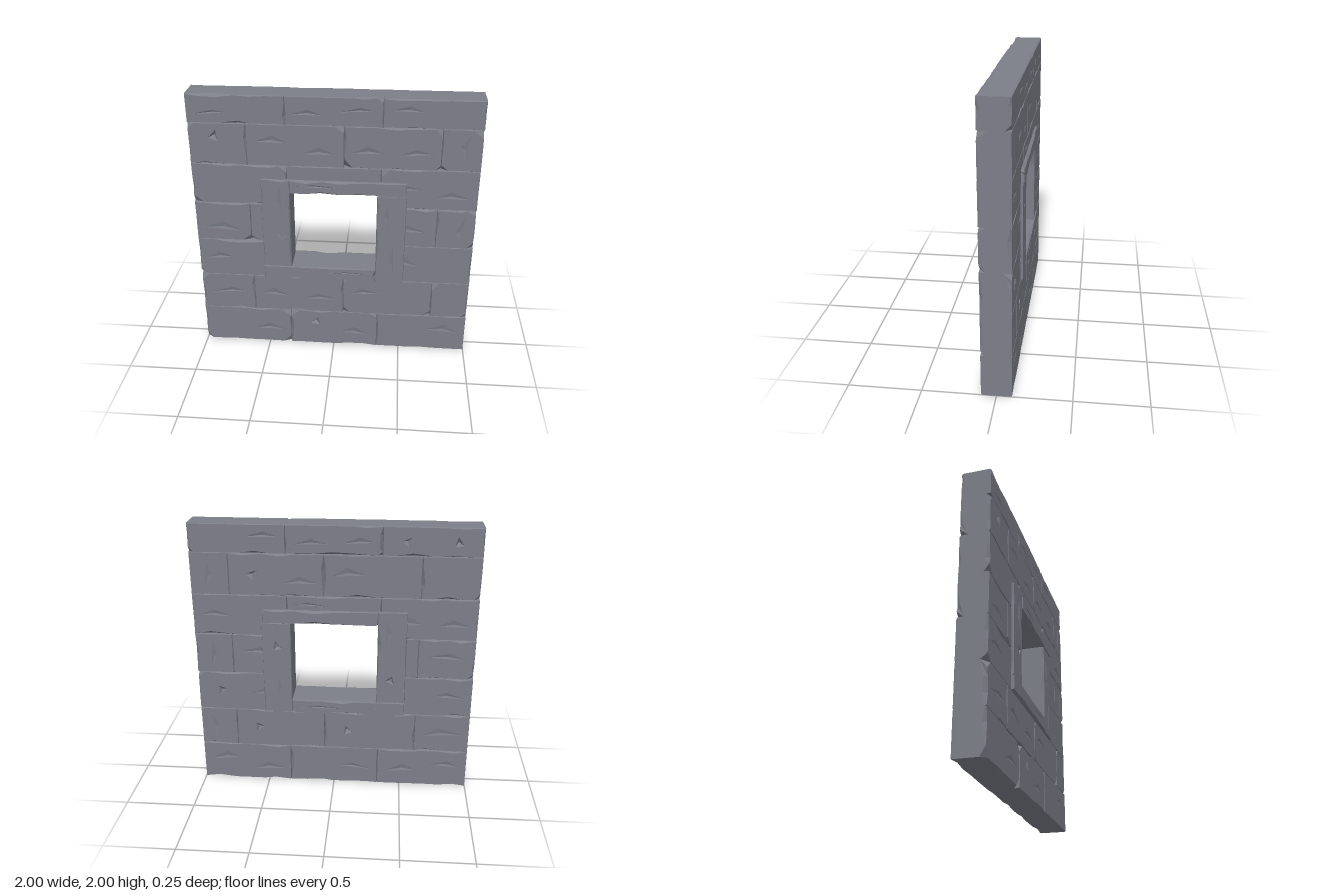
import * as THREE from 'three';

// Small seeded generator, so the wear is the same every time
let seed = 7;
const rand = () => {
  seed = (seed * 16807) % 2147483647;
  return seed / 2147483647;
};
const between = (a, b) => a + (b - a) * rand();

// Joint corners that are broken off on the front
const brokenCorners = [
  [-0.6, 1.5], [0.07, 1.5], [0.73, 1.5], [-0.6, 0.9], [-0.6, 0.3], [0.73, 0.3],
  [-0.33, 0], [-0.33, 1.5], [-1, 0.6], [0.73, 0.6], [0.07, 1.8], [-0.6, 1.2],
];
// Deep pits in the front of the stones
const pits = [[-0.82, 1.71], [-0.14, 0.2], [-0.38, 0.95]];

// Worn outline of one face: the face edge, and the rim below it with a depth at each point
function wornEdge(x0, x1, y0, y1, front) {
  const corners = [[x0, y0], [x1, y0], [x1, y1], [x0, y1]];
  const maxChip = Math.min(0.07, 0.25 * Math.min(x1 - x0, y1 - y0));
  const face = [], rim = [];
  corners.forEach(([cx, cy], i) => {
    const [px, py] = corners[(i + 3) % 4];
    const [nx, ny] = corners[(i + 1) % 4];
    const before = Math.hypot(px - cx, py - cy), length = Math.hypot(nx - cx, ny - cy);
    const dx = (nx - cx) / length, dy = (ny - cy) / length;
    const listed = front && brokenCorners.some(([x, y]) => Math.hypot(x - cx, y - cy) < 0.02);
    const broken = rand() < (listed ? 0.6 : 0.13);
    const a = broken ? maxChip * between(0.5, 1) : 0.008;
    const b = broken ? maxChip * between(0.5, 1) : 0.008;
    const depth = broken ? between(0.03, 0.06) : 0.01;
    // Corner: two face points over one rim point, set in slightly from the joints
    face.push([cx + (px - cx) / before * a + dx * 0.003, cy + (py - cy) / before * a + dy * 0.003]);
    face.push([cx + dx * b - dy * 0.003, cy + dy * b + dx * 0.003]);
    rim.push([cx, cy, depth], [cx, cy, depth]);
    // Uneven edge up to the next corner
    const n = Math.max(1, Math.round(length / 0.13));
    for (let k = 1; k <= n; k++) {
      const t = length * (k + between(-0.2, 0.2)) / (n + 1);
      const inset = 0.003 + 0.02 * rand() ** 5;
      const x = cx + dx * t, y = cy + dy * t;
      face.push([x - dy * inset, y + dx * inset]);
      rim.push([x, y, 0.008 + inset]);
    }
  });
  return { face, rim };
}

// Deep pits and long shallow scars, one per stretch of the stone
function makeDents(x0, x1, y0, y1, front) {
  const w = x1 - x0, h = y1 - y0, tall = h > w;
  const long = tall ? h : w, short = tall ? w : h;
  const count = Math.max(1, Math.round(long / 0.35)), step = long / count;
  const dents = [];
  for (let i = 0; i < count; i++) {
    const place = (u, v) => tall
      ? [x0 + short * (1 - v), y0 + step * (i + u)]
      : [x0 + step * (i + u), y0 + short * v];
    const [ax, ay] = place(0, 0), [bx, by] = place(1, 1);
    const pit = front && pits.find(([x, y]) =>
      x > Math.min(ax, bx) && x < Math.max(ax, bx) && y > Math.min(ay, by) && y < Math.max(ay, by));
    if (pit || (!front && rand() < 0.3)) {
      const [x, y] = pit || place(0.5, 0.5);
      const r = Math.min(0.045, short * 0.2), turn = between(0, 6);
      const points = [0, 2.3, 4].map(t => [x + r * Math.cos(t + turn), y + r * Math.sin(t + turn)]);
      dents.push({ points, low: [x, y], depth: 0.03 });
    } else if (rand() < 0.75) {
      const v = between(0.3, 0.6), tilt = between(-0.08, 0.08);
      const points = [place(0.12, v), place(0.85, v + tilt), place(between(0.4, 0.6), v + 0.17)];
      const low = [0, 1].map(k => (points[0][k] + points[1][k] + points[2][k]) / 3);
      dents.push({ points, low, depth: 0.007 });
    }
  }
  return dents;
}

// One worn stone block reaching from -half to +half in z
function stoneGeometry(x0, x1, y0, y1, half) {
  const data = [];
  const tri = (a, b, c) => data.push(...a, ...b, ...c);
  const rims = {};
  for (const side of [1, -1]) {
    const { face, rim } = wornEdge(x0, x1, y0, y1, side > 0);
    const dents = makeDents(x0, x1, y0, y1, side > 0);
    const at = ([x, y], depth = 0) => [x, y, side * (half - depth)];
    const facing = (a, b, c) => {
      const area = (b[0] - a[0]) * (c[1] - a[1]) - (b[1] - a[1]) * (c[0] - a[0]);
      if (area * side > 0) tri(a, b, c); else tri(a, c, b);
    };
    // Flat face with holes for the dents
    const vec = list => list.map(([x, y]) => new THREE.Vector2(x, y));
    const all = [face, ...dents.map(d => d.points)].flat();
    const faces = THREE.ShapeUtils.triangulateShape(vec(face), dents.map(d => vec(d.points).reverse()));
    const ordered = [...face, ...dents.flatMap(d => [...d.points].reverse())];
    if (ordered.length === all.length) {
      for (const f of faces) facing(...f.map(i => at(ordered[i])));
    }
    for (const d of dents) {
      d.points.forEach((p, i) => facing(at(p), at(d.points[(i + 1) % 3]), at(d.low, d.depth)));
    }
    rims[side] = { face: face.map(p => at(p)), rim: rim.map(p => at(p, p[2])) };
  }
  // Bevels and sides, joined from back to front
  const loops = [rims[-1].face, rims[-1].rim, rims[1].rim, rims[1].face];
  for (let l = 0; l < 3; l++) {
    const lower = loops[l], upper = loops[l + 1], n = lower.length;
    // Both rims share their point count
    for (let i = 0; i < n; i++) {
      const j = (i + 1) % n;
      tri(lower[i], lower[j], upper[j]);
      tri(lower[i], upper[j], upper[i]);
    }
  }
  const geometry = new THREE.BufferGeometry();
  geometry.setAttribute('position', new THREE.Float32BufferAttribute(data, 3));
  geometry.computeVertexNormals();
  return geometry;
}

export function createModel() {
  seed = 7;
  const stone = new THREE.MeshStandardMaterial({ color: 0x7c7e88, flatShading: true });
  stone.name = 'grey stone';
  const model = new THREE.Group();
  model.name = 'stoneWallWithWindow';

  const add = (group, name, x0, x1, y0, y1, half) => {
    const mesh = new THREE.Mesh(stoneGeometry(x0, x1, y0, y1, half), stone);
    mesh.name = name;
    group.add(mesh);
  };

  // Courses of blocks: bottom, top, then the x spans
  const thirds = [[-1, -0.33], [-0.33, 0.33], [0.33, 1]];
  const offset = [[-1, -0.6], [-0.6, 0.07], [0.07, 0.73], [0.73, 1]];
  const courses = [
    [0, 0.3, thirds],
    [0.3, 0.6, offset],
    [0.6, 0.9, [thirds[0], thirds[2]]],
    [0.9, 1.2, [[-1, -0.6], [-0.6, -0.35], [0.35, 0.73], [0.73, 1]]],
    [1.2, 1.5, [thirds[0], thirds[2]]],
    [1.5, 1.8, offset],
    [1.8, 2, thirds],
  ];
  const wall = new THREE.Group();
  wall.name = 'wallBlocks';
  courses.forEach(([y0, y1, spans], row) => spans.forEach(([x0, x1], i) =>
    add(wall, `course${row + 1}Block${i + 1}`, x0, x1, y0, y1, 0.103)));
  add(wall, 'blockAboveWindow', -0.33, 0.33, 1.35, 1.5, 0.103);

  // Window surround, each piece overlapping the next
  const surround = new THREE.Group();
  surround.name = 'windowSurround';
  add(surround, 'lintel', -0.31, 0.505, 1.3, 1.4, 0.125);
  add(surround, 'sill', -0.515, 0.305, 0.6, 0.7, 0.125);
  add(surround, 'rightPost', -0.515, -0.31, 0.7, 1.4, 0.119);
  add(surround, 'leftPost', 0.305, 0.512, 0.6, 1.3, 0.119);

  model.add(wall, surround);
  return model;
}
